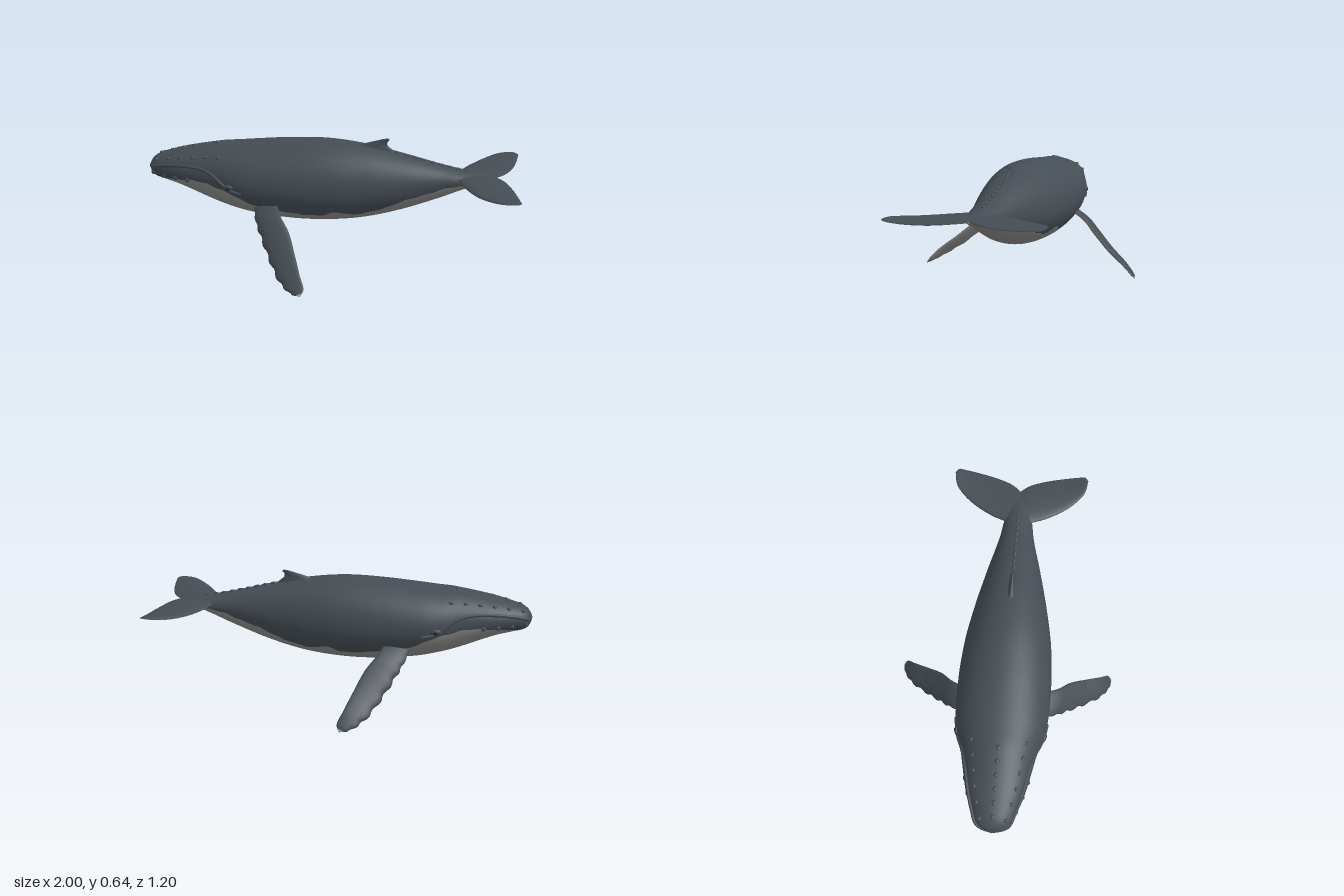
import * as THREE from 'three';

const mat = (name, color) => {
  const m = new THREE.MeshStandardMaterial({ color, side: THREE.DoubleSide });
  m.name = name;
  return m;
};

// Smooth lookup of column c in a table sorted by its first column
function sample(table, x, c = 1) {
  const n = table.length - 1;
  let i = 0;
  while (i < n - 1 && x > table[i + 1][0]) i++;
  const slope = k => {
    const a = table[Math.max(k - 1, 0)], b = table[Math.min(k + 1, n)];
    return (b[c] - a[c]) / (b[0] - a[0]);
  };
  const a = table[i], b = table[i + 1], h = b[0] - a[0];
  const t = THREE.MathUtils.clamp((x - a[0]) / h, 0, 1), t2 = t * t, t3 = t2 * t;
  return (2 * t3 - 3 * t2 + 1) * a[c] + (t3 - 2 * t2 + t) * h * slope(i)
    + (3 * t2 - 2 * t3) * b[c] + (t3 - t2) * h * slope(i + 1);
}

// Skin closed rings of points; pick(row, column) gives the material index
function loft(rings, pick) {
  const m = rings[0].length, buckets = [[], [], []];
  const centre = rings[0].reduce((s, p) => s.add(p), new THREE.Vector3()).divideScalar(m);
  const pts = rings.flat();
  let volume = 0;
  for (let r = 0; r < rings.length - 1; r++) for (let k = 0; k < m; k++) {
    const a = r * m + k, b = r * m + (k + 1) % m, c = a + m, d = b + m;
    for (const tri of [[a, b, c], [b, d, c]]) {
      const [p, q, s] = tri.map(v => pts[v].clone().sub(centre));
      volume += p.dot(q.cross(s));
      buckets[pick(r, k)].push(tri);
    }
  }
  const geo = new THREE.BufferGeometry().setFromPoints(pts), index = [];
  buckets.forEach((list, i) => {
    if (!list.length) return;
    geo.addGroup(index.length, list.length * 3, i);
    for (const [a, b, c] of list) index.push(...(volume < 0 ? [a, c, b] : [a, b, c]));
  });
  geo.setIndex(index);
  geo.computeVertexNormals();
  return geo;
}

// Fin from leading and trailing edge points: [lx, ly, lz, tx, ty, tz]
function foil(stations, ratio, side, pick, rows = 30, bump = 0) {
  const edge = o => new THREE.CatmullRomCurve3(
    stations.map(s => new THREE.Vector3(s[o], s[o + 1], s[o + 2] * side)), false, 'centripetal');
  const lead = edge(0), trail = edge(3), cols = 20, rings = [];
  const span = lead.getPoint(1).sub(lead.getPoint(0));
  for (let r = 0; r <= rows; r++) {
    const L = lead.getPoint(r / rows), T = trail.getPoint(r / rows);
    const chord = T.clone().sub(L);
    const thick = chord.length() * ratio;
    const up = chord.clone().cross(span).normalize();
    if (up.y < 0) up.negate();
    const wave = bump * Math.sin(r / rows * Math.PI) * Math.sin(r / rows * 52);
    if (chord.length() > 0.001) L.addScaledVector(chord.clone().normalize(), -wave);
    rings.push(Array.from({ length: cols }, (_, k) => {
      const a = k / cols * Math.PI * 2, c = (1 - Math.cos(a)) / 2;
      return L.clone().lerp(T, c).addScaledVector(up, thick * Math.sin(a) * (1.25 - 0.6 * c));
    }));
  }
  return loft(rings, (r, k) => pick(r / rows, k < cols / 2));
}

// x, top, bottom, half width, height of widest line
const BODY = [
  [-0.995, 0.44, 0.405, 0.02, 0.425], [-0.98, 0.465, 0.38, 0.06, 0.428], [-0.95, 0.487, 0.362, 0.09, 0.43],
  [-0.9, 0.505, 0.352, 0.113, 0.43], [-0.8, 0.533, 0.328, 0.148, 0.43], [-0.6, 0.573, 0.253, 0.193, 0.415],
  [-0.5, 0.582, 0.227, 0.222, 0.405], [-0.4, 0.593, 0.208, 0.24, 0.395], [-0.2, 0.614, 0.188, 0.244, 0.39],
  [0, 0.623, 0.19, 0.23, 0.39], [0.2, 0.606, 0.215, 0.195, 0.395], [0.4, 0.567, 0.27, 0.148, 0.415],
  [0.6, 0.522, 0.348, 0.095, 0.44], [0.7, 0.503, 0.395, 0.078, 0.452], [0.8, 0.49, 0.438, 0.055, 0.464],
  [0.88, 0.474, 0.466, 0.01, 0.47]];
// Height of the colour border along the flank
const BORDER = [
  [-1, 0.34], [-0.93, 0.36], [-0.87, 0.385], [-0.75, 0.405], [-0.6, 0.4], [-0.5, 0.375], [-0.42, 0.34],
  [-0.3, 0.3], [-0.1, 0.272], [0, 0.265], [0.08, 0.298], [0.15, 0.276], [0.22, 0.282], [0.3, 0.31],
  [0.4, 0.352], [0.5, 0.385], [0.6, 0.42], [0.72, 0.442], [0.88, 0.468]];

// Angle from the top of the section at x where the skin reaches height y
function angleAt(x, y) {
  const cy = sample(BODY, x, 4);
  const h = y > cy ? sample(BODY, x, 1) - cy : cy - sample(BODY, x, 2);
  return Math.acos(THREE.MathUtils.clamp((y - cy) / h, -1, 1));
}
function skin(x, t, side = 1) {
  const cy = sample(BODY, x, 4), c = Math.cos(t);
  const h = c > 0 ? sample(BODY, x, 1) - cy : cy - sample(BODY, x, 2);
  return new THREE.Vector3(x, cy + h * c, side * sample(BODY, x, 3) * Math.sin(t));
}

function bodyGeometry() {
  const rows = 90, upper = 16, half = 28, rings = [];
  for (let r = 0; r <= rows; r++) {
    const x = -0.995 + 1.875 * Math.pow(r / rows, 1.4);
    const y = sample(BORDER, x) + 0.006 * Math.sin(x * 47) * Math.sin(x * 19);
    const border = Math.min(angleAt(x, y), Math.PI - 0.02);
    const ring = [];
    for (let k = 0; k < half * 2; k++) {
      const j = k <= half ? k : half * 2 - k;
      const t = j <= upper ? border * j / upper
        : border + (Math.PI - border) * (j - upper) / (half - upper);
      ring.push(skin(x, t, k <= half ? 1 : -1));
    }
    rings.push(ring);
  }
  // Close the snout
  rings.unshift(rings[0].map(() => new THREE.Vector3(-1, 0.425, 0)));
  return loft(rings, (r, k) => (r > 6 && k >= upper && k < half * 2 - upper ? 1 : 0));
}

const FLIPPER = [
  [-0.37, 0.31, 0.17, -0.25, 0.345, 0.17], [-0.335, 0.25, 0.27, -0.2, 0.295, 0.28],
  [-0.29, 0.19, 0.34, -0.14, 0.235, 0.35], [-0.225, 0.11, 0.43, -0.09, 0.16, 0.44],
  [-0.15, 0.045, 0.53, -0.045, 0.09, 0.53], [-0.08, 0.015, 0.585, -0.018, 0.04, 0.575],
  [-0.03, 0.01, 0.598, -0.03, 0.01, 0.598]];
const FLUKE = [
  [0.62, 0.472, 0, 0.885, 0.472, 0], [0.68, 0.47, 0.05, 0.925, 0.472, 0.05],
  [0.725, 0.465, 0.15, 0.965, 0.468, 0.15], [0.785, 0.465, 0.25, 0.988, 0.47, 0.25],
  [0.845, 0.472, 0.32, 0.998, 0.476, 0.32], [0.9, 0.48, 0.36, 0.999, 0.482, 0.355],
  [0.975, 0.485, 0.375, 0.975, 0.485, 0.375]];
const DORSAL = [
  [0.1, 0.57, 0, 0.37, 0.56, 0], [0.16, 0.604, 0, 0.335, 0.595, 0], [0.21, 0.622, 0, 0.313, 0.615, 0],
  [0.26, 0.637, 0, 0.315, 0.632, 0], [0.295, 0.647, 0, 0.324, 0.643, 0], [0.318, 0.65, 0, 0.318, 0.65, 0]];
const MOUTH = [
  [-0.965, 0.438], [-0.9, 0.455], [-0.8, 0.472], [-0.68, 0.476], [-0.6, 0.46],
  [-0.54, 0.425], [-0.48, 0.388], [-0.42, 0.375]];

export function createModel() {
  const whale = new THREE.Group();
  whale.name = 'whale';
  const dark = mat('slate skin', 0x454d54), belly = mat('grey belly', 0x8b8d8a);
  const light = mat('pale flipper tip', 0xa3a4a2), black = mat('eye black', 0x1c1f22);
  const skins = [dark, belly, light];
  const add = (name, geo, material) => {
    const mesh = new THREE.Mesh(geo, material);
    mesh.name = name;
    whale.add(mesh);
    return mesh;
  };
  const ball = new THREE.SphereGeometry(1, 12, 8);
  const lump = (name, p, sx, sy, sz, material = dark) => {
    const mesh = add(name, ball, material);
    mesh.position.copy(p);
    mesh.scale.set(sx, sy, sz);
  };

  add('body', bodyGeometry(), skins);
  add('dorsalFin', foil(DORSAL, 0.1, 1, () => 0, 20), skins);

  // Ridge of the lips, running round the snout
  const lip = side => MOUTH.map(([x, y]) => skin(x, angleAt(x, y), side));
  const lipPath = [...lip(1).reverse(), new THREE.Vector3(-0.988, 0.43, 0), ...lip(-1)];
  add('lipRidge', new THREE.TubeGeometry(new THREE.CatmullRomCurve3(lipPath), 100, 0.009, 8), dark);

  for (const side of [1, -1]) {
    const label = side > 0 ? 'front' : 'back';
    add(label + 'Flipper', foil(FLIPPER, 0.125, side,
      (u, top) => (top ? (u > 0.9 ? 2 : 0) : 1), 48, 0.007), skins);
    add(label + 'Fluke', foil(FLUKE, 0.065, side, (u, top) => (top ? 0 : 1)), skins);
    // Eye in its swollen lid
    const eye = skin(-0.49, angleAt(-0.49, 0.402), side);
    lump(label + 'Eyelid', eye, 0.03, 0.018, 0.012);
    lump(label + 'Eye', eye.clone().add(new THREE.Vector3(0, 0, side * 0.008)), 0.011, 0.008, 0.007, black);
    // Knobs on the upper and lower jaw
    for (let i = 0; i < 6; i++) {
      const x = -0.94 + i * 0.075;
      lump('headKnob', skin(x, 0.75, side), 0.012, 0.008, 0.01);
      if (i < 4) lump('chinKnob', skin(x - 0.02, angleAt(x - 0.02, 0.405), side), 0.012, 0.012, 0.008);
    }
  }

  // Knobs along the middle of the head and on the tail ridge
  for (let i = 0; i < 6; i++) lump('crownKnob', skin(-0.93 + i * 0.065, 0), 0.014, 0.007, 0.012);
  for (let i = 0; i < 9; i++) lump('tailKnob', skin(0.37 + i * 0.045, 0), 0.02, 0.008, 0.008);
  return whale;
}
